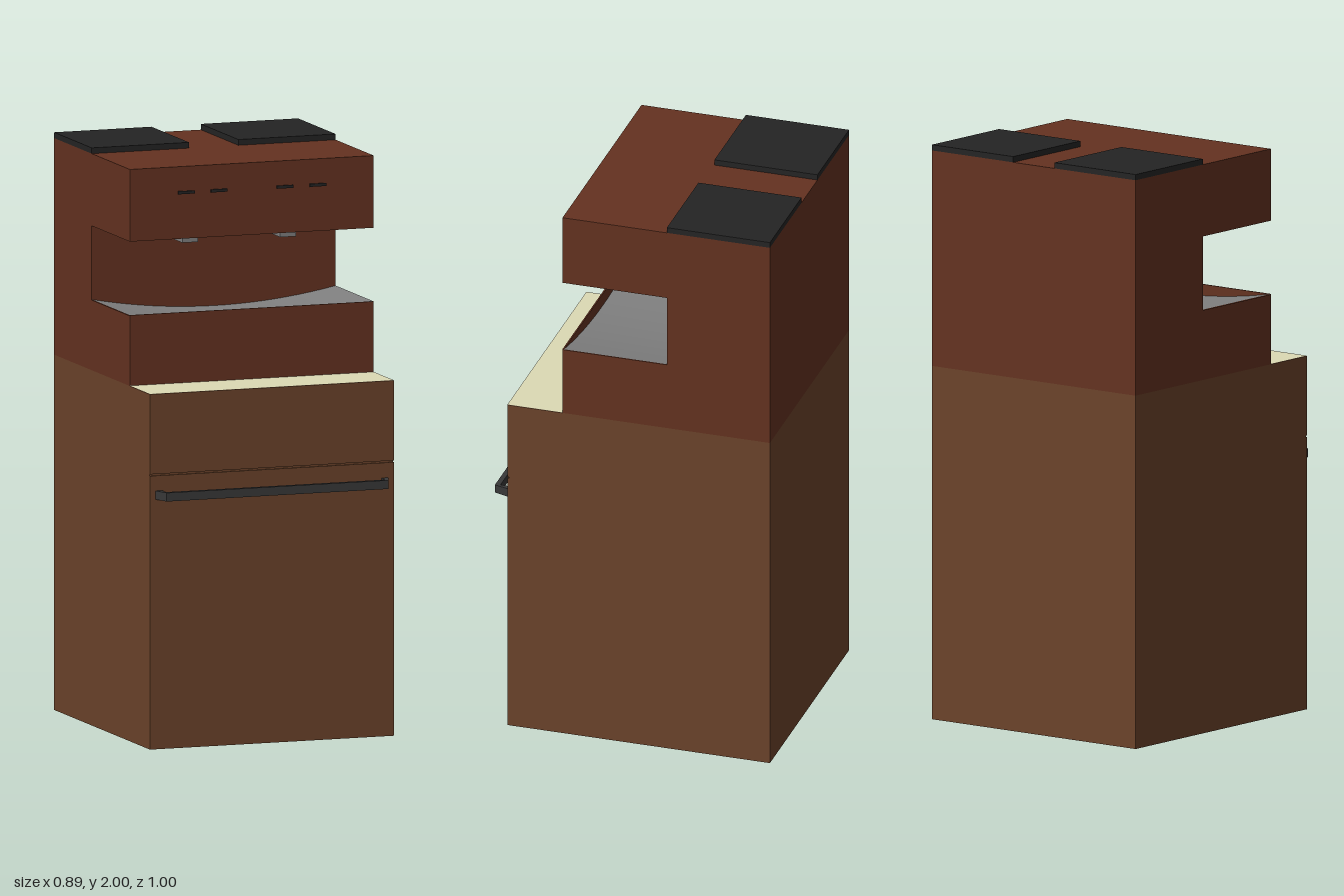
import * as THREE from 'three';

const W = 0.89; // shared width of cabinet and machine
const BACK = -0.5;

const paint = (color, extra = {}) => new THREE.MeshStandardMaterial({ color, ...extra });

export function createModel() {
  const model = new THREE.Group();
  const wood = paint(0x6b432a);
  const casing = paint(0x643220);
  const black = paint(0x242424);
  const iron = paint(0x383838);
  const steel = paint(0x808080, { side: THREE.DoubleSide });
  const cream = paint(0xdddab5, { side: THREE.DoubleSide });

  const add = (name, geometry, material, parent = model) => {
    const mesh = new THREE.Mesh(geometry, material);
    mesh.name = name;
    parent.add(mesh);
    return mesh;
  };
  // Box given by its lower and upper limits
  const box = (name, material, [x0, x1], [y0, y1], [z0, z1], parent) =>
    add(name, new THREE.BoxGeometry(x1 - x0, y1 - y0, z1 - z0)
      .translate((x0 + x1) / 2, (y0 + y1) / 2, (z0 + z1) / 2), material, parent);
  const shape = (pts) => new THREE.Shape(pts.map(([x, y]) => new THREE.Vector2(x, y)));
  const full = [-W / 2, W / 2];

  // Cabinet: side profile with a groove between drawer and door
  const profile = shape([
    [BACK, 0], [0.443, 0], [0.443, 0.947], [0.437, 0.947],
    [0.437, 0.953], [0.443, 0.953], [0.443, 1.23], [BACK, 1.23],
  ]);
  add('cabinet', new THREE.ExtrudeGeometry(profile, { depth: W, bevelEnabled: false })
    .rotateY(-Math.PI / 2).translate(W / 2, 0, 0), wood);
  add('countertop', new THREE.PlaneGeometry(W, 0.198).rotateX(-Math.PI / 2)
    .translate(0, 1.231, 0.344), cream);

  // Door handle: bar with splayed ends, drawn from above
  const handle = shape([
    [-0.425, -0.44], [-0.405, -0.5], [0.405, -0.5], [0.425, -0.44],
    [0.4, -0.44], [0.4, -0.482], [-0.4, -0.482], [-0.4, -0.44],
  ]);
  add('doorHandle', new THREE.ExtrudeGeometry(handle, { depth: 0.03, bevelEnabled: false })
    .rotateX(-Math.PI / 2).translate(0, 0.865, 0), iron);

  // Machine casing: back column, overhanging head, base with a sagging top
  const machine = new THREE.Group();
  machine.name = 'machine';
  model.add(machine);
  box('column', casing, full, [1.23, 1.98], [BACK, -0.13], machine);
  box('head', casing, full, [1.73, 1.98], [-0.13, 0.245], machine);
  box('baseFront', casing, full, [1.23, 1.475], [0.24, 0.245], machine);

  const sag = (x) => 1.475 - 0.045 * (1 - (2 * x / W) ** 2);
  const section = [[-W / 2, 1.23], [W / 2, 1.23]];
  const steps = 20;
  for (let i = 0; i <= steps; i++) {
    const x = W / 2 - (W * i) / steps;
    section.push([x, sag(x) - 0.002]);
  }
  add('base', new THREE.ExtrudeGeometry(shape(section), { depth: 0.37, bevelEnabled: false })
    .translate(0, 0, -0.13), casing, machine);

  // Curved drip tray
  const tray = new THREE.PlaneGeometry(W, 0.37, steps, 1).rotateX(-Math.PI / 2).translate(0, 0, 0.055);
  const p = tray.attributes.position;
  for (let i = 0; i < p.count; i++) p.setY(i, sag(p.getX(i)));
  tray.computeVertexNormals();
  add('dripTray', tray, steel, machine);

  // Paired parts: top plates, spouts and front slots
  for (const s of [-1, 1]) {
    const span = (a, b) => (s > 0 ? [a, b] : [-b, -a]);
    box('topPlate', black, span(0.09, W / 2), [1.98, 2], [BACK, -0.13], machine);
    box('spout', steel, span(0.15, 0.207), [1.695, 1.73], [0, 0.12], machine);
    for (const x of [0.09, 0.21]) {
      box('slot', black, span(x, x + 0.06), [1.885, 1.895], [0.24, 0.251], machine);
    }
  }
  return model;
}
